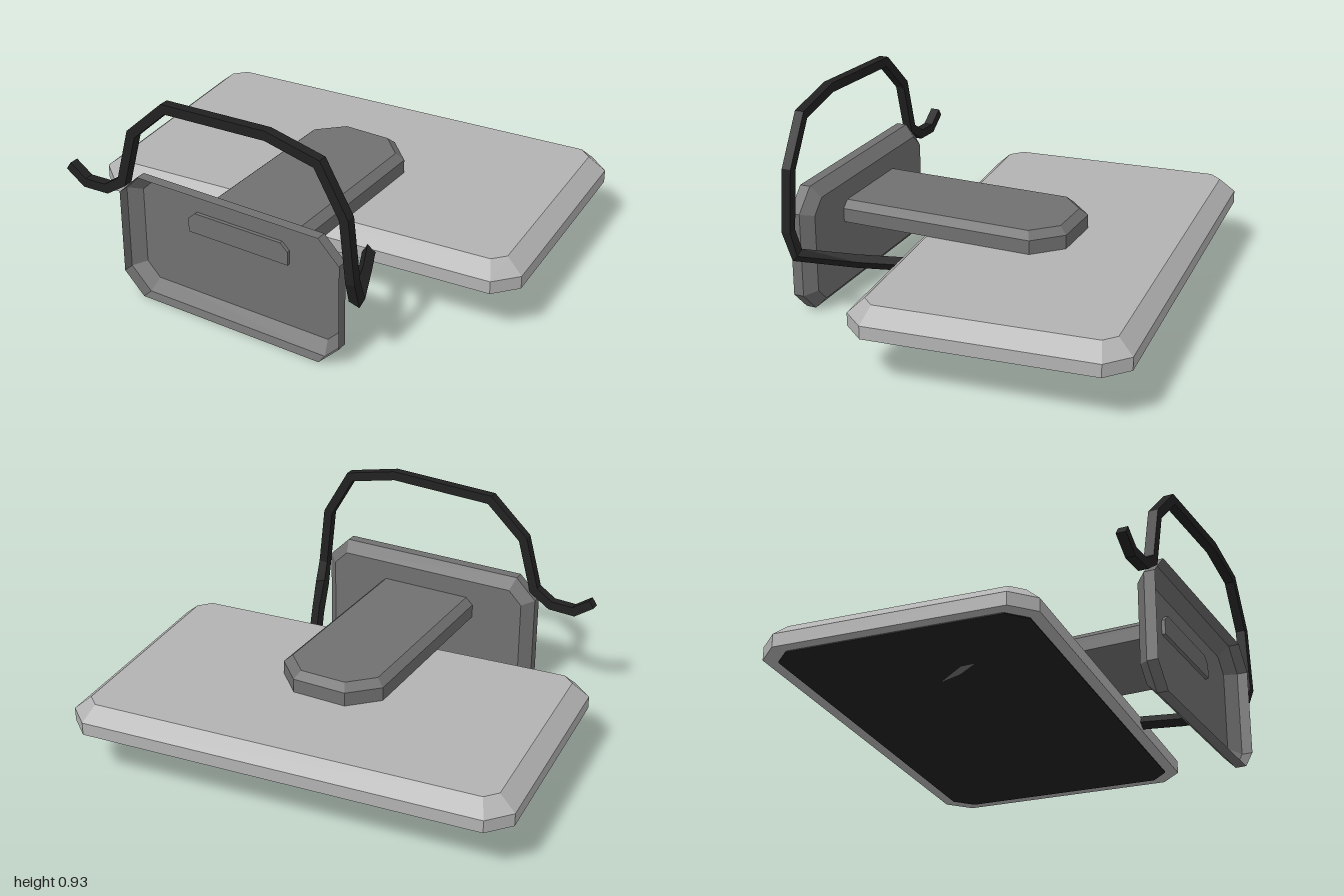
import * as THREE from 'three';

const mat = (name, color, side = THREE.FrontSide) => {
  const m = new THREE.MeshStandardMaterial({ color, side, flatShading: true });
  m.name = name;
  return m;
};

// Rectangle outline with cut corners, counterclockwise
const octagon = (w, h, c) => [
  [w - c, -h], [w, c - h], [w, h - c], [w - c, h],
  [c - w, h], [-w, h - c], [-w, c - h], [c - w, -h],
];

// Skin over outlines stacked along z, given as [outline, level] from low to high
function loft(rings, startCap = true, endCap = true) {
  const n = rings[0][0].length, pos = [], idx = [];
  for (const [outline, z] of rings) for (const [x, y] of outline) pos.push(x, y, z);
  for (let r = 0; r < rings.length - 1; r++) {
    for (let i = 0; i < n; i++) {
      const a = r * n + i, b = r * n + (i + 1) % n;
      idx.push(a, b, b + n, a, b + n, a + n);
    }
  }
  const last = (rings.length - 1) * n;
  for (let i = 1; i < n - 1; i++) {
    if (startCap) idx.push(0, i + 1, i);
    if (endCap) idx.push(last, last + i, last + i + 1);
  }
  const g = new THREE.BufferGeometry();
  g.setAttribute('position', new THREE.Float32BufferAttribute(pos, 3));
  g.setIndex(idx);
  return finish(g);
}

function finish(g) {
  const flat = g.toNonIndexed();
  flat.computeVertexNormals();
  return flat;
}

// Square bar swept along a polyline, mitred at the bends
function sweep(points, half) {
  const p = points.map(a => new THREE.Vector3(...a));
  const pos = [], idx = [], B = new THREE.Vector3(0, 0, 1);
  p.forEach((q, i) => {
    const d0 = q.clone().sub(p[Math.max(i - 1, 0)]).normalize();
    const d1 = p[Math.min(i + 1, p.length - 1)].clone().sub(q).normalize();
    const t = d0.clone().add(d1).normalize();
    B.addScaledVector(t, -B.dot(t)).normalize();
    const N = new THREE.Vector3().crossVectors(B, t);
    const miter = half / Math.max(t.dot(i ? d0 : d1), 0.7);
    for (const [u, v] of [[-1, -1], [1, -1], [1, 1], [-1, 1]]) {
      const c = q.clone().addScaledVector(N, u * miter).addScaledVector(B, v * half);
      pos.push(c.x, c.y, c.z);
    }
    if (i) for (let k = 0; k < 4; k++) {
      const a = (i - 1) * 4 + k, b = (i - 1) * 4 + (k + 1) % 4;
      idx.push(a, b + 4, b, a, a + 4, b + 4);
    }
  });
  const e = (p.length - 1) * 4;
  idx.push(0, 1, 2, 0, 2, 3, e, e + 2, e + 1, e, e + 3, e + 2);
  const g = new THREE.BufferGeometry();
  g.setAttribute('position', new THREE.Float32BufferAttribute(pos, 3));
  g.setIndex(idx);
  return finish(g);
}

export function createModel() {
  const model = new THREE.Group();
  model.name = 'toppledMonitor';
  const shell = mat('light grey plastic', 0xb2b2b2);
  const grey = mat('dark grey plastic', 0x707070, THREE.DoubleSide);
  const black = mat('black', 0x212121, THREE.DoubleSide);

  const add = (parent, name, geometry, material) => {
    const m = new THREE.Mesh(geometry, material);
    m.name = name;
    parent.add(m);
    return m;
  };

  // Display lying face down, turned slightly
  const display = new THREE.Group();
  display.name = 'display';
  display.position.set(0, 0.215, -0.165);
  display.rotation.set(-Math.PI / 2, 0, THREE.MathUtils.degToRad(5));
  model.add(display);
  add(display, 'displayShell', loft([
    [octagon(0.957, 0.567, 0.092), 0],
    [octagon(0.957, 0.567, 0.092), 0.055],
    [octagon(0.887, 0.503, 0.05), 0.115],
  ]), shell);
  const screen = octagon(0.907, 0.517, 0.075);
  add(display, 'screen', loft([[screen, -0.004], [screen, 0]]), black);

  // Small pointer mark on the screen
  const pointer = new THREE.Shape(
    [[-0.444, 0.007], [-0.548, -0.12], [-0.553, -0.18], [-0.484, -0.09]].map(a => new THREE.Vector2(...a)));
  add(display, 'screenPointer', new THREE.ShapeGeometry(pointer), grey).position.z = -0.006;

  // Stand arm: flat bar with cut back corners and bevelled top edges
  const arm = (i, c) => {
    const w = 0.235 - i, back = 0.26 - i, front = -0.725;
    return [[-w, front], [w, front], [w, back - c], [w - c, back], [c - w, back], [-w, back - c]];
  };
  const armMesh = add(model, 'standArm', loft([
    [arm(0, 0.115), 0], [arm(0, 0.115), 0.06], [arm(0.033, 0.1), 0.09],
  ]), grey);
  armMesh.rotation.x = -Math.PI / 2;
  armMesh.position.set(0.015, 0.33, 0);

  // Stand base: tipped up on edge, hollow on its underside
  add(model, 'standBase', loft([
    [octagon(0.468, 0.228, 0.06), 0.71],
    [octagon(0.515, 0.275, 0.092), 0.755],
    [octagon(0.515, 0.275, 0.092), 0.8],
  ], true, false), grey).position.set(0.015, 0.275, 0);

  // Loose cable looping over the base and back into the display
  add(model, 'cable', sweep([
    [-0.76, 0.5, 0.78], [-0.68, 0.445, 0.78], [-0.57, 0.45, 0.78], [-0.488, 0.505, 0.78],
    [-0.425, 0.735, 0.78], [-0.26, 0.888, 0.78], [0.21, 0.908, 0.78], [0.435, 0.858, 0.78],
    [0.55, 0.66, 0.78], [0.578, 0.4, 0.78], [0.575, 0.3, 0.745], [0.47, 0.27, 0.52],
    [0.37, 0.25, 0.32],
  ], 0.02), black);

  return model;
}
